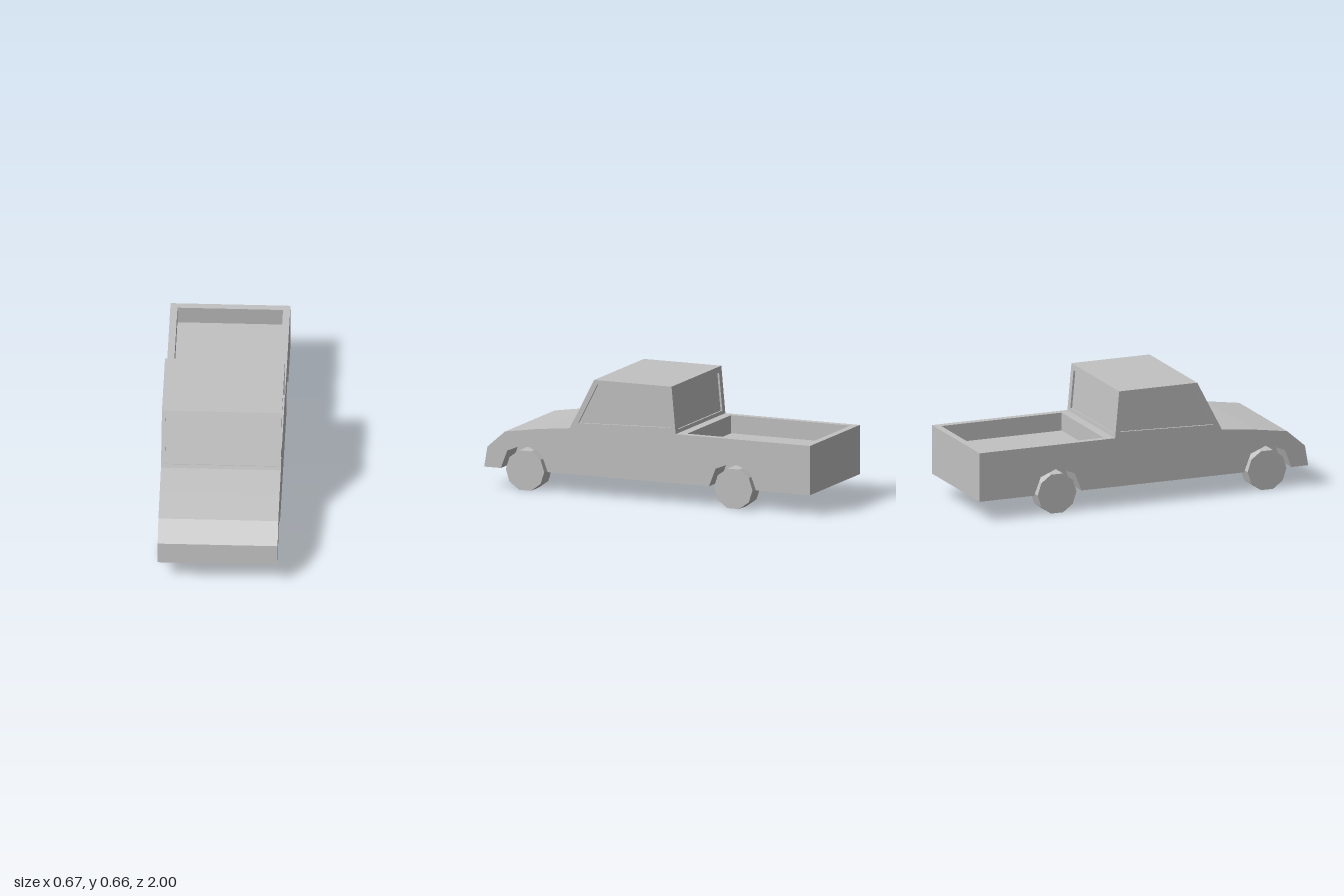
import * as THREE from 'three';
import { mergeGeometries } from 'three/addons/utils/BufferGeometryUtils.js';

const W = 0.335;        // half width of the body
const SILL = 0.117;     // underside height
const WELL = 0.19;      // x of the inner wheel well wall
const AXLES = [-0.524, 0.754];

// Flat panel: a 2D outline with holes, placed in space by map(u, v, depth)
function panel(map, outline, holes = [], depth = 0) {
  const toPts = (list) => list.map(([u, v]) => new THREE.Vector2(u, v));
  const shape = new THREE.Shape(toPts(outline));
  shape.holes = holes.map((h) => new THREE.Path(toPts(h)));
  const geo = new THREE.ShapeGeometry(shape).toNonIndexed();
  geo.deleteAttribute('uv');
  const pos = geo.attributes.position;
  for (let i = 0; i < pos.count; i++) pos.setXYZ(i, ...map(pos.getX(i), pos.getY(i), depth));
  geo.computeVertexNormals();
  return geo;
}

// Pocket sunk into a panel: inner walls along a counter-clockwise loop, plus a floor
function pocket(map, loop, depth, closed = true) {
  const verts = [];
  const count = closed ? loop.length : loop.length - 1;
  for (let i = 0; i < count; i++) {
    const p = loop[i], q = loop[(i + 1) % loop.length];
    const p0 = map(...p, 0), q0 = map(...q, 0), p1 = map(...p, depth), q1 = map(...q, depth);
    verts.push(...p0, ...q0, ...q1, ...p0, ...q1, ...p1);
  }
  const walls = new THREE.BufferGeometry();
  walls.setAttribute('position', new THREE.Float32BufferAttribute(verts, 3));
  walls.computeVertexNormals();
  return mergeGeometries([walls, panel(map, loop, [], depth)]);
}

// Map for a panel spanning the width between two (z, y) profile points
function crossMap([z0, y0], [z1, y1]) {
  const len = Math.hypot(z1 - z0, y1 - y0);
  const tz = (z1 - z0) / len, ty = (y1 - y0) / len;
  const map = (u, v, d) => [u, y0 + ty * v + tz * d, z0 + tz * v - ty * d];
  return { map, len };
}

const rect = (half, v0, v1) => [[-half, v0], [half, v0], [half, v1], [-half, v1]];

export function createModel() {
  const truck = new THREE.Group();
  truck.name = 'pickupTruck';
  const grey = new THREE.MeshStandardMaterial({ color: 0xc2c2c2, side: THREE.DoubleSide });
  grey.name = 'plain grey';
  const add = (parent, name, geo) => {
    const mesh = new THREE.Mesh(geo, grey);
    mesh.name = name;
    parent.add(mesh);
    return mesh;
  };

  // Side profile (z, y), from the front sill over the roof to the tail
  const profile = [
    [1, SILL], [0.98, 0.233], [0.872, 0.327], [0.674, 0.357], [0.475, 0.378],
    [0.325, 0.665], [-0.15, 0.665], [-0.175, 0.397], [-1, 0.397], [-1, SILL],
  ];
  const names = ['frontFascia', 'noseSlope', 'frontHood', 'rearHood', 'windscreenFrame',
    'roof', 'cabBack', 'bedRim', 'tailgate'];
  const recesses = {
    windscreenFrame: { name: 'windscreen', loop: rect(0.313, 0.021, 0.304), depth: 0.011 },
    cabBack: { name: 'rearWindow', loop: rect(0.298, 0.033, 0.248), depth: 0.011 },
    bedRim: { name: 'cargoBed', loop: rect(0.295, 0.053, 0.785), depth: 0.103 },
  };
  names.forEach((name, i) => {
    const { map, len } = crossMap(profile[i], profile[i + 1]);
    const r = recesses[name];
    add(truck, name, panel(map, rect(W, 0, len), r ? [r.loop] : []));
    if (r) add(truck, r.name, pocket(map, r.loop, r.depth));
  });

  // Underside with notches for the wheel wells
  const edge = [[W, -1]];
  for (const c of AXLES) {
    edge.push([W, c - 0.144], [WELL, c - 0.144], [WELL, c + 0.144], [W, c + 0.144]);
  }
  edge.push([W, 1]);
  const floorOutline = [...edge, ...edge.map(([x, z]) => [-x, z]).reverse()];
  add(truck, 'underside', panel((x, z) => [x, SILL, z], floorOutline));

  // One side: body panel, window, wheel wells and wheels, then mirrored
  const arches = AXLES.map((c) => [
    [c + 0.144, SILL], [c + 0.104, 0.22], [c, 0.262], [c - 0.104, 0.22], [c - 0.144, SILL],
  ]);
  const sideWindow = [[0.422, 0.412], [-0.144, 0.43], [-0.123, 0.64], [0.305, 0.64]].reverse();
  sideWindow.reverse();
  const windowLoop = [sideWindow[1], sideWindow[0], sideWindow[3], sideWindow[2]];
  const sideMap = (z, y, d) => [-W + d, y, z];
  const outline = [...profile, ...arches.flatMap((a) => [...a].reverse())];

  for (const mirror of [1, -1]) {
    const side = new THREE.Group();
    side.name = mirror === 1 ? 'rightSide' : 'leftSide';
    side.scale.x = mirror;
    add(side, 'sidePanel', panel(sideMap, outline, [windowLoop]));
    add(side, 'sideWindow', pocket(sideMap, windowLoop, 0.012));
    AXLES.forEach((c, i) => {
      const end = i ? 'front' : 'rear';
      add(side, end + 'WheelWell', pocket(sideMap, arches[i], W - WELL, false));
      // Ten-sided wheel standing on a flat
      const tyre = new THREE.CylinderGeometry(0.118, 0.118, 0.105, 10).toNonIndexed();
      tyre.rotateZ(Math.PI / 2);
      tyre.computeVertexNormals();
      add(side, end + 'Wheel', tyre).position.set(-0.2725, 0.1123, c);
    });
    truck.add(side);
  }
  return truck;
}
